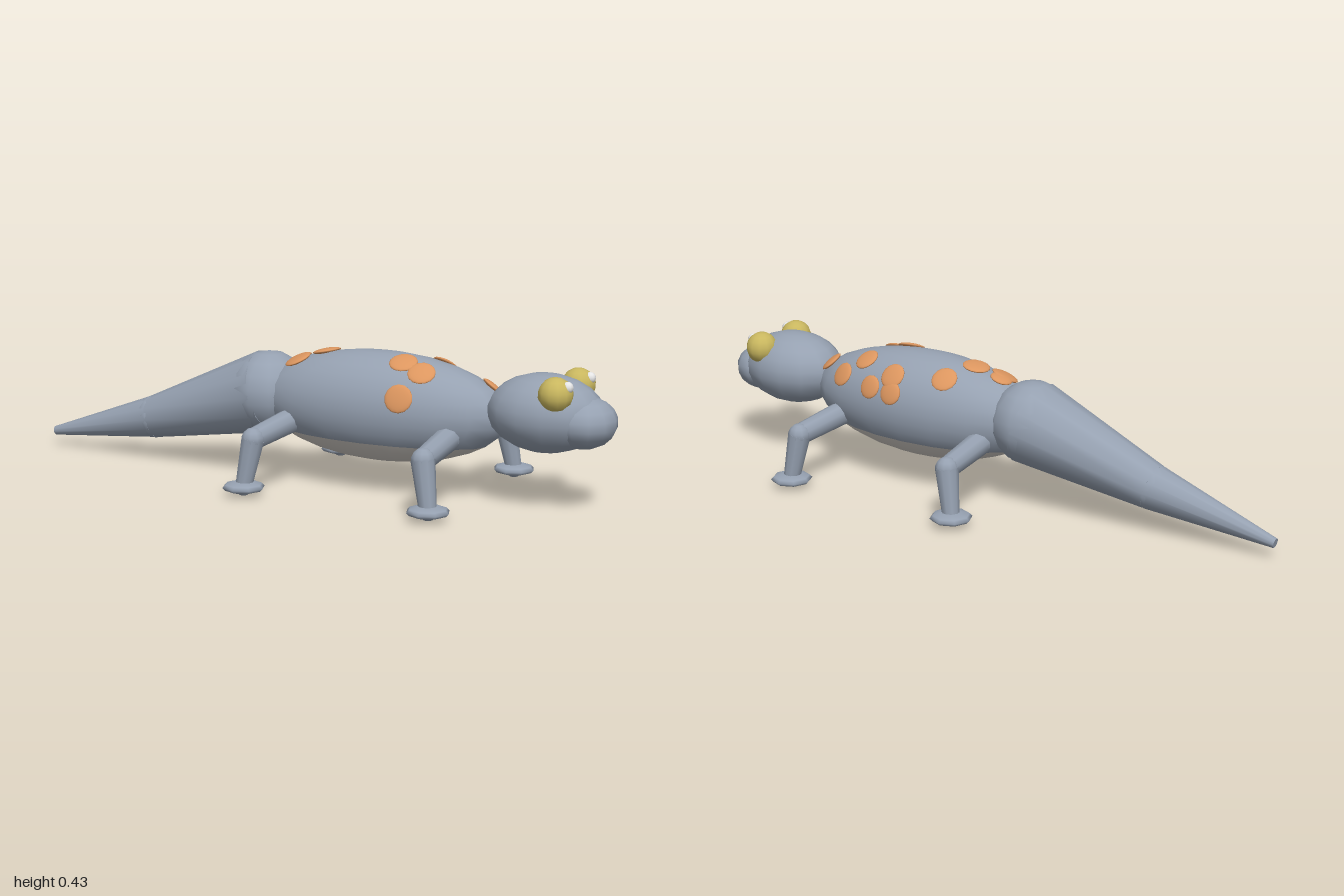
import * as THREE from 'three';

const mat = (name, color) => {
  const m = new THREE.MeshStandardMaterial({ color });
  m.name = name;
  return m;
};

export function createModel() {
  const skin = mat('slate skin', 0x96a1b1);
  const pale = mat('pale belly', 0xcfcac4);
  const orange = mat('orange spots', 0xdc965f);
  const yellow = mat('yellow eyes', 0xc9b75f);
  const white = mat('white pupils', 0xe6e6e6);
  const V = (x, y, z) => new THREE.Vector3(x, y, z);
  const model = new THREE.Group();
  model.name = 'gecko';

  // Ellipsoid, optionally only a band of it between two polar angles
  function ball(parent, name, material, c, r, segs = 12, from = 0, to = Math.PI) {
    const rows = Math.max(3, Math.round(segs * 0.75 * (to - from) / Math.PI));
    const geo = new THREE.SphereGeometry(1, segs, rows, 0, Math.PI * 2, from, to - from);
    const mesh = new THREE.Mesh(geo, material);
    mesh.name = name;
    mesh.position.copy(c);
    mesh.scale.copy(r);
    parent.add(mesh);
    return mesh;
  }

  // Tapered limb from a to b
  function limb(parent, name, a, b, ra, rb, segs = 10) {
    const dir = b.clone().sub(a);
    const mesh = new THREE.Mesh(new THREE.CylinderGeometry(rb, ra, dir.length(), segs), skin);
    mesh.name = name;
    mesh.position.copy(a).add(b).multiplyScalar(0.5);
    mesh.quaternion.setFromUnitVectors(V(0, 1, 0), dir.normalize());
    parent.add(mesh);
  }

  // Body, with the lower cap as the belly
  const bodyC = V(0.24, 0.26, 0), bodyR = V(0.42, 0.17, 0.165);
  const split = Math.acos((0.165 - bodyC.y) / bodyR.y);
  ball(model, 'body', skin, bodyC, bodyR, 20, 0, split);
  ball(model, 'belly', pale, bodyC, bodyR, 20, split, Math.PI);

  // Head and snout
  ball(model, 'head', skin, V(0.78, 0.29, 0), V(0.18, 0.118, 0.136), 14);
  ball(model, 'snout', skin, V(0.9, 0.273, 0), V(0.1, 0.078, 0.105), 12);

  // Eyes
  for (const s of [1, -1]) {
    const side = s > 0 ? 'right' : 'left';
    ball(model, side + 'Eye', yellow, V(0.845, 0.364, s * 0.088), V(0.052, 0.052, 0.052));
    ball(model, side + 'Pupil', white, V(0.881, 0.388, s * 0.088), V(0.018, 0.018, 0.018), 10);
  }

  // Tail in two tapering pieces with rounded joints
  const root = V(-0.16, 0.265, 0), mid = V(-0.59, 0.14, 0), tip = V(-0.997, 0.05, 0);
  ball(model, 'tailRoot', skin, root, V(0.131, 0.131, 0.134));
  limb(model, 'upperTail', root, mid, 0.133, 0.07, 12);
  ball(model, 'tailJoint', skin, mid, V(0.07, 0.07, 0.07));
  limb(model, 'tailTip', mid, tip, 0.07, 0.015, 12);

  // Four legs: hip, knee, ankle and a round pad; back legs mirror the front about the body centre
  for (const e of [1, -1]) {
    for (const s of [1, -1]) {
      const leg = new THREE.Group();
      leg.name = (e > 0 ? 'front' : 'back') + (s > 0 ? 'Right' : 'Left') + 'Leg';
      const at = (dx, y, z) => V(0.24 + e * dx, y, s * z);
      const hip = at(0.27, 0.2, 0.1), knee = at(0.285, 0.178, 0.295), ankle = at(0.31, 0.03, 0.31);
      ball(leg, 'hip', skin, hip, V(0.039, 0.039, 0.039), 10);
      limb(leg, 'thigh', hip, knee, 0.039, 0.034);
      ball(leg, 'knee', skin, knee, V(0.036, 0.036, 0.036), 10);
      limb(leg, 'shin', knee, ankle, 0.036, 0.026);
      ball(leg, 'ankle', skin, ankle, V(0.027, 0.027, 0.027), 8);
      ball(leg, 'foot', skin, at(0.31, 0.031, 0.31), V(0.066, 0.018, 0.066), 8);
      model.add(leg);
    }
  }

  // Thin spots lying on the back, given as x, z and radius
  const spots = [
    [0.10, -0.10, 0.042], [0.28, -0.125, 0.042], [0.355, -0.145, 0.038], [0.415, -0.08, 0.04],
    [0.49, -0.11, 0.04], [0.595, -0.035, 0.038], [0.045, -0.005, 0.044], [-0.035, 0.035, 0.044],
    [-0.045, 0, 0.036], [0.345, 0.065, 0.044], [0.415, 0.085, 0.043], [0.37, 0.147, 0.044],
    [0.27, -0.153, 0.038],
  ];
  for (const [x, z, r] of spots) {
    const u = (x - bodyC.x) / bodyR.x, w = z / bodyR.z;
    const v = Math.sqrt(Math.max(0.01, 1 - u * u - w * w));
    const n = V(u / bodyR.x, v / bodyR.y, w / bodyR.z).normalize();
    const c = V(x, bodyC.y + v * bodyR.y, z).addScaledVector(n, 0.001);
    const spot = ball(model, 'spot', orange, c, V(r, 0.009, r), 14);
    spot.quaternion.setFromUnitVectors(V(0, 1, 0), n);
  }
  return model;
}
